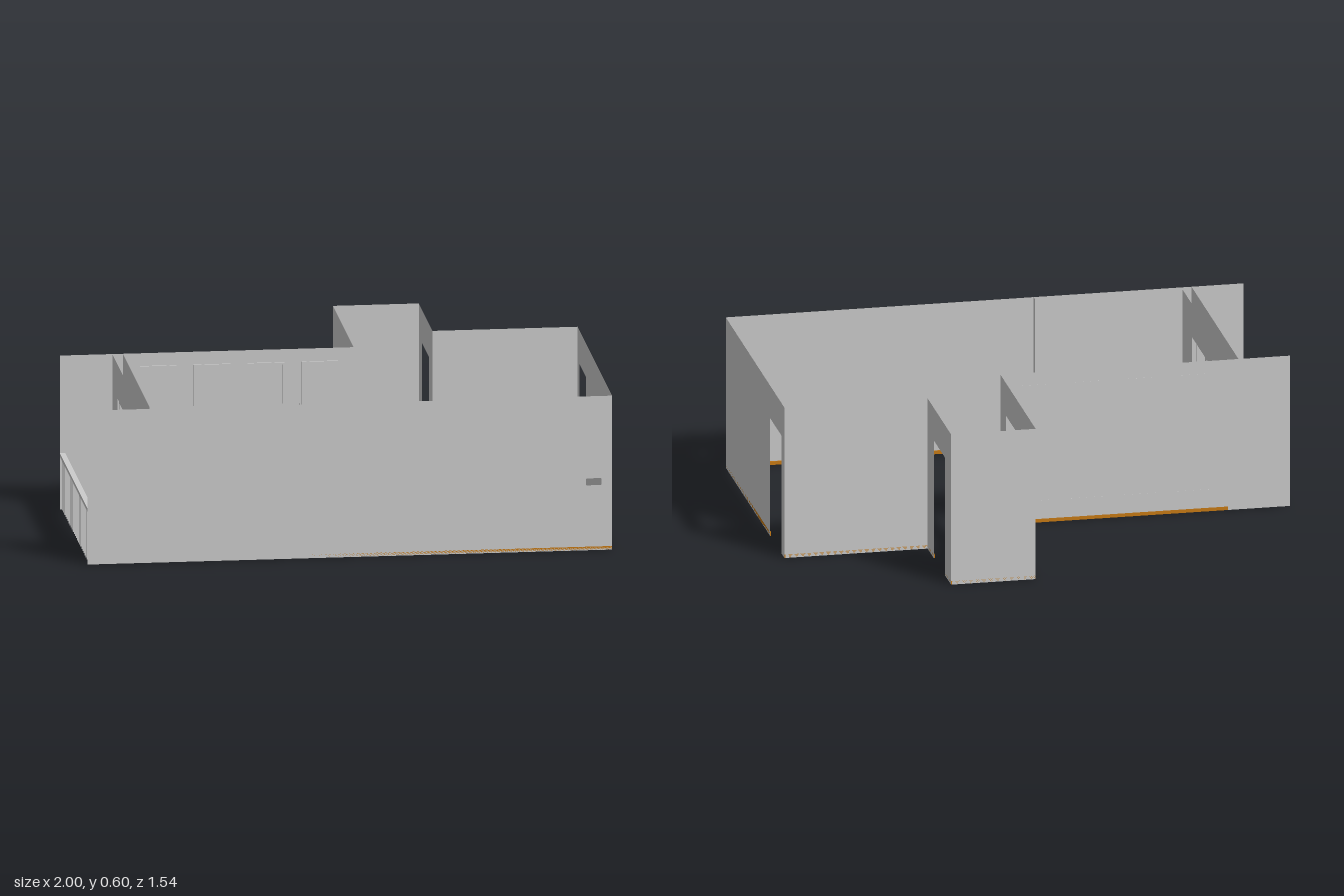
import * as THREE from 'three';

const H = 0.6, DOOR = 0.47;
const grey = new THREE.MeshStandardMaterial({ color: 0xcccccc, side: THREE.DoubleSide });
const wood = new THREE.MeshStandardMaterial({ color: 0xc87a14 });

export function createModel() {
  const room = new THREE.Group();
  room.name = 'room';

  function box(name, sx, sy, sz, x, y, z, parent = room, mat = grey) {
    const m = new THREE.Mesh(new THREE.BoxGeometry(sx, sy, sz), mat);
    m.name = name;
    m.position.set(x, y, z);
    parent.add(m);
    return m;
  }

  // Thin wall from a to b; door = [start, end] along it; skirt = [start, end] of the skirting
  function wall(name, a, b, { door, skirt, hole } = {}) {
    const dx = b[0] - a[0], dz = b[1] - a[1], len = Math.hypot(dx, dz);
    const g = new THREE.Group();
    g.name = name;
    g.position.set(a[0], 0, a[1]);
    g.rotation.y = Math.atan2(-dz, dx);
    const s = new THREE.Shape();
    s.moveTo(0, 0);
    if (door) {
      s.lineTo(door[0], 0);
      s.lineTo(door[0], DOOR);
      s.lineTo(door[1], DOOR);
      s.lineTo(door[1], 0);
    }
    s.lineTo(len, 0);
    s.lineTo(len, H);
    s.lineTo(0, H);
    s.closePath();
    if (hole) s.holes.push(hole);
    const sheet = new THREE.Mesh(new THREE.ShapeGeometry(s, 4), grey);
    sheet.name = name + 'Sheet';
    g.add(sheet);
    // skirting on the inner side, broken at the doorway
    if (skirt) {
      const runs = door ? [[skirt[0], door[0]], [door[1], skirt[1]]] : [skirt];
      for (const [p, q] of runs)
        box('skirting', q - p, 0.014, 0.004, (p + q) / 2, 0.007, -0.002, g, wood);
    }
    room.add(g);
    return g;
  }

  // Small rounded slot in the front wall
  const slot = new THREE.Path();
  const [l, r, lo, hi, c] = [1.9, 1.96, 0.253, 0.28, 0.006];
  slot.moveTo(l + c, lo);
  slot.lineTo(r - c, lo);
  slot.quadraticCurveTo(r, lo, r, lo + c);
  slot.lineTo(r, hi - c);
  slot.quadraticCurveTo(r, hi, r - c, hi);
  slot.lineTo(l + c, hi);
  slot.quadraticCurveTo(l, hi, l, hi - c);
  slot.lineTo(l, lo + c);
  slot.quadraticCurveTo(l, lo, l + c, lo);

  // Walls in order round the plan, the inside always on the same hand
  wall('frontWall', [-1, 0.768], [1, 0.768], { skirt: [0.81, 2], hole: slot });
  wall('liningWall', [-0.76, 0.743], [-0.19, 0.743], { skirt: [0, 0.57] });
  wall('liningReturn', [-0.19, 0.743], [-0.19, 0.768]);
  wall('leftWall', [1, 0.768], [1, -0.33], { door: [0.828, 1.038], skirt: [0, 1.098] });
  wall('hallBackWall', [1, -0.33], [0.447, -0.33], { skirt: [0, 0.553] });
  wall('nookLeftWall', [0.447, -0.33], [0.447, -0.768], { door: [0.117, 0.33], skirt: [0, 0.438] });
  wall('nookBackWall', [0.447, -0.768], [0.12, -0.768], { skirt: [0, 0.327] });
  wall('nookRightWall', [0.12, -0.768], [0.12, -0.11], { door: [0.345, 0.555], skirt: [0, 0.658] });
  wall('backWall', [0.12, -0.11], [-1, -0.11], { skirt: [0, 0.88] });
  wall('windowWallInner', [-0.76, -0.11], [-0.76, 0.743], { door: [0.16, 0.675], skirt: [0, 0.853] });
  wall('windowWallOuter', [-0.8, -0.11], [-0.8, 0.768], { door: [0.16, 0.675] });

  // Lining of the window opening
  const z0 = 0.05, z1 = 0.565, mid = (z0 + z1) / 2, span = z1 - z0;
  box('windowSill', 0.04, 0.006, span, -0.78, 0.003, mid);
  box('windowHead', 0.04, 0.004, span, -0.78, DOOR, mid);
  for (const z of [z0, z1]) box('windowReveal', 0.04, DOOR, 0.003, -0.78, DOOR / 2, z);

  // Three tall glazed leaves, frames only
  const leaf = span / 3;
  for (let i = 0; i < 3; i++) {
    const z = z0 + leaf * (i + 0.5);
    for (const s of [-1, 1])
      box('windowStile', 0.016, DOOR - 0.01, 0.014, -0.785, DOOR / 2, z + s * (leaf / 2 - 0.007));
    for (const y of [0.015, DOOR - 0.012])
      box('windowRail', 0.016, 0.018, leaf, -0.785, y, z);
  }

  // Raised moulding frames on the inside of the back wall
  for (let i = 0; i < 4; i++) {
    const x = -0.625 + i * 0.205, w = 0.14, y0 = 0.08, y1 = 0.55, t = 0.008;
    for (const s of [-1, 1])
      box('mouldingSide', t, y1 - y0, 0.007, x + s * (w - t) / 2, (y0 + y1) / 2, -0.107);
    for (const y of [y0 + t / 2, y1 - t / 2])
      box('mouldingEnd', w, t, 0.007, x, y, -0.107);
  }

  // Balcony railing
  box('handrail', 0.02, 0.014, 0.878, -0.99, 0.213, 0.329);
  const n = 26;
  for (let i = 0; i < n; i++)
    box('baluster', 0.006, 0.208, 0.006, -0.99, 0.104, -0.095 + (i / (n - 1)) * 0.848);

  return room;
}
